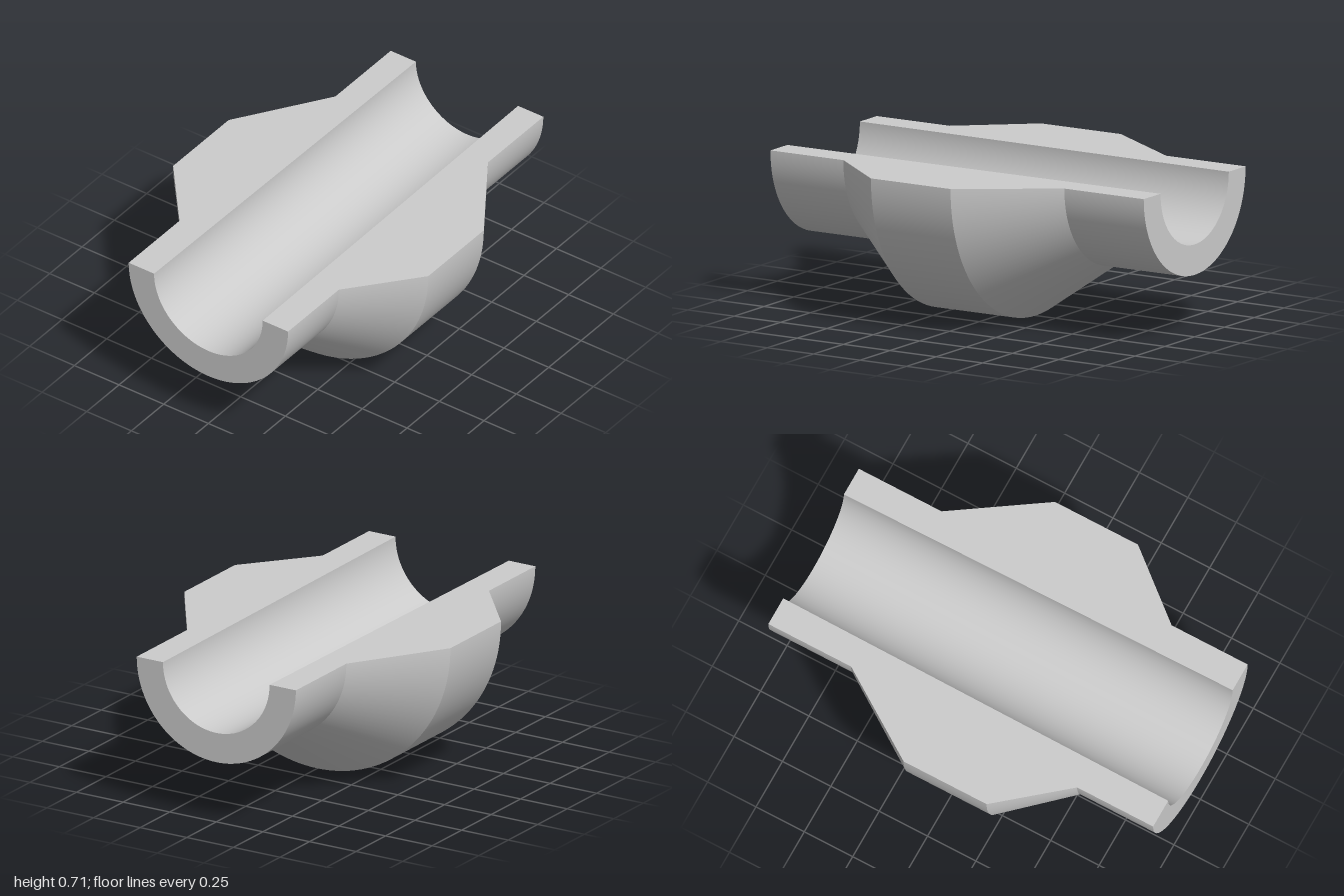
import * as THREE from 'three';

const AXIS_Y = 0.714;
// Closed wall section as [radius, z]: outside from back to front, then the bore back again
const SECTION = [
  [0.427, -1], [0.427, -0.572], [0.714, -0.143], [0.714, 0.286],
  [0.446, 0.607], [0.446, 1], [0.304, 1], [0.286, -1],
];
const NAMES = ['backNeck', 'backTaper', 'bulge', 'frontTaper', 'frontNeck', 'frontRim', 'bore', 'backRim'];

export function createModel() {
  const group = new THREE.Group();
  group.name = 'halfSleeve';
  const material = new THREE.MeshStandardMaterial({ color: 0xcccccc });

  const add = (name, geometry) => {
    const mesh = new THREE.Mesh(geometry, material);
    mesh.name = name;
    mesh.position.y = AXIS_Y;
    group.add(mesh);
  };

  // Each section edge is swept through the lower half turn, keeping the rings crisp
  SECTION.forEach((point, i) => {
    const next = SECTION[(i + 1) % SECTION.length];
    const edge = [new THREE.Vector2(...point), new THREE.Vector2(...next)];
    const sweep = new THREE.LatheGeometry(edge, 64, -Math.PI / 2, Math.PI);
    add(NAMES[i], sweep.rotateX(Math.PI / 2));
  });

  // Flat cut faces on both sides of the bore
  for (const side of [1, -1]) {
    const shape = new THREE.Shape(SECTION.map(([r, z]) => new THREE.Vector2(side * r, -z)));
    const face = new THREE.ShapeGeometry(shape).rotateX(-Math.PI / 2);
    add(side > 0 ? 'leftCutFace' : 'rightCutFace', face);
  }
  return group;
}
